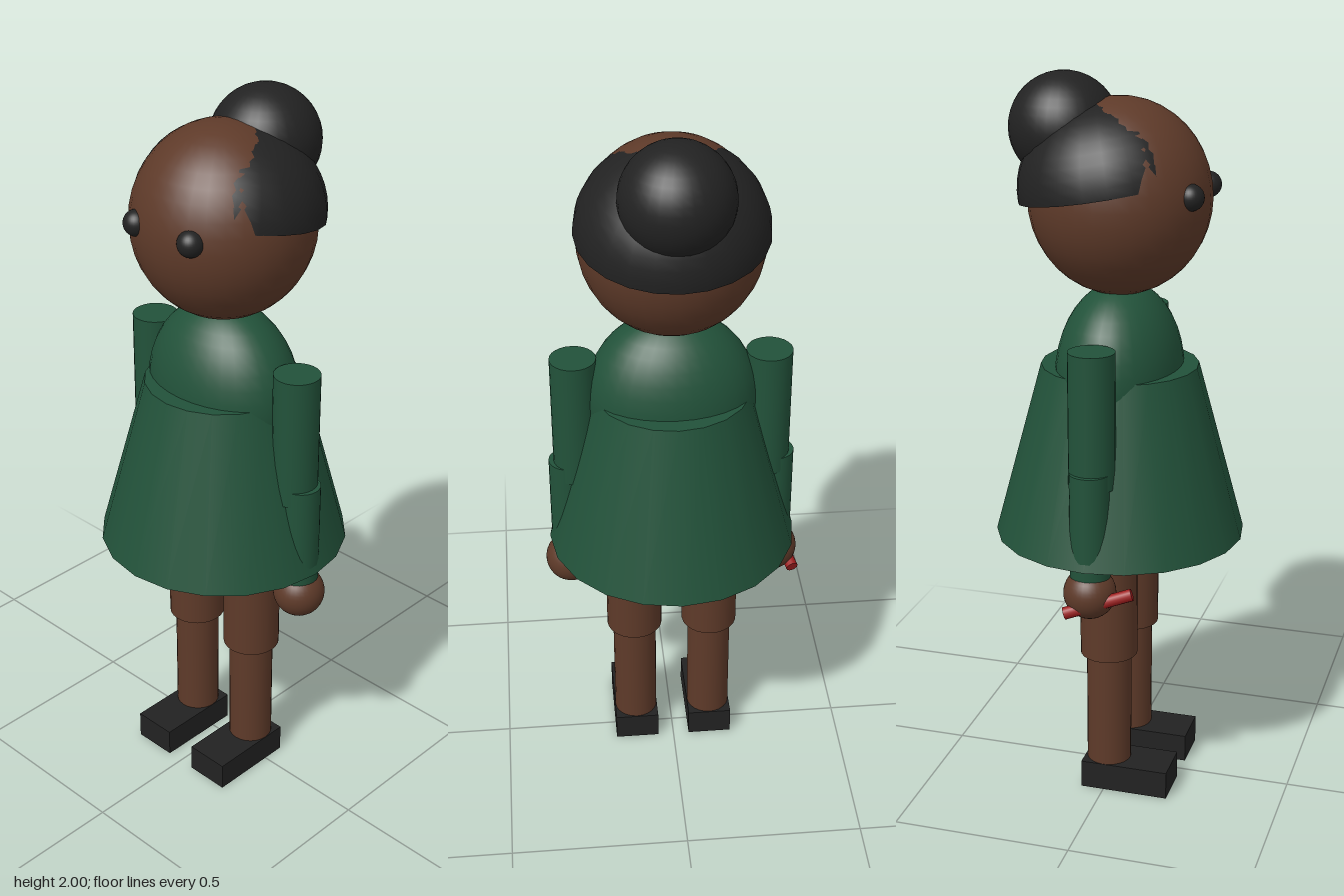
import * as THREE from 'three';

const material = (name, color, side = THREE.FrontSide) => {
  const m = new THREE.MeshStandardMaterial({ color, side });
  m.name = name;
  return m;
};

export function createModel() {
  const skin = material('brown skin', 0x5e3a29);
  const green = material('green cloth', 0x22523a);
  const black = material('black hair and shoes', 0x222222, THREE.DoubleSide);
  const red = material('red rod', 0x9c1c1c);

  const model = new THREE.Group();
  model.name = 'figure';

  const add = (name, geometry, mat, x, y, z) => {
    const mesh = new THREE.Mesh(geometry, mat);
    mesh.name = name;
    mesh.position.set(x, y, z);
    model.add(mesh);
    return mesh;
  };
  const ball = (name, mat, [x, y, z], [rx, ry, rz]) =>
    add(name, new THREE.SphereGeometry(1, 32, 20).scale(rx, ry, rz), mat, x, y, z);
  // Upright cylinder between two heights
  const column = (name, mat, x, y0, y1, rTop, rBottom = rTop, sides = 24) =>
    add(name, new THREE.CylinderGeometry(rTop, rBottom, y1 - y0, sides), mat, x, (y0 + y1) / 2, 0);

  // Head, hair shell tilted backwards, and bun
  ball('head', skin, [0, 1.68, 0], [0.245, 0.26, 0.245]);
  const hair = add('hair',
    new THREE.SphereGeometry(1, 24, 12, 0, Math.PI * 2, 0, Math.PI / 2).scale(0.252, 0.23, 0.252),
    black, 0, 1.705, -0.022);
  hair.rotation.x = -0.18;
  ball('bun', black, [0, 1.855, -0.153], [0.147, 0.145, 0.147]);

  // Dress
  ball('bodice', green, [0, 1.2, 0], [0.232, 0.25, 0.17]);
  column('skirt', green, 0, 0.745, 1.225, 0.215, 0.345, 20);

  // Paired parts
  for (const [side, s] of [['left', 1], ['right', -1]]) {
    ball(side + 'Eye', black, [s * 0.096, 1.705, 0.215], [0.035, 0.035, 0.035]);
    column(side + 'UpperArm', green, s * 0.263, 0.96, 1.328, 0.0625);
    column(side + 'Forearm', green, s * 0.285, 0.71, 1.005, 0.054);
    ball(side + 'Hand', skin, [s * 0.288, 0.667, 0], [0.071, 0.071, 0.071]);
    column(side + 'Thigh', skin, s * 0.11, 0.41, 0.8, 0.08);
    column(side + 'Shin', skin, s * 0.11, 0.06, 0.42, 0.0625);
    add(side + 'Shoe', new THREE.BoxGeometry(0.127, 0.08, 0.25), black, s * 0.11, 0.04, 0.06);
  }

  // Small rod held in the right hand
  const front = new THREE.Vector3(-0.3, 0.68, 0.12);
  const back = new THREE.Vector3(-0.343, 0.622, -0.055);
  const axis = front.clone().sub(back);
  const rod = add('heldRod', new THREE.CylinderGeometry(0.017, 0.017, axis.length(), 12), red, 0, 0, 0);
  rod.position.copy(front).add(back).multiplyScalar(0.5);
  rod.quaternion.setFromUnitVectors(new THREE.Vector3(0, 1, 0), axis.normalize());

  return model;
}
